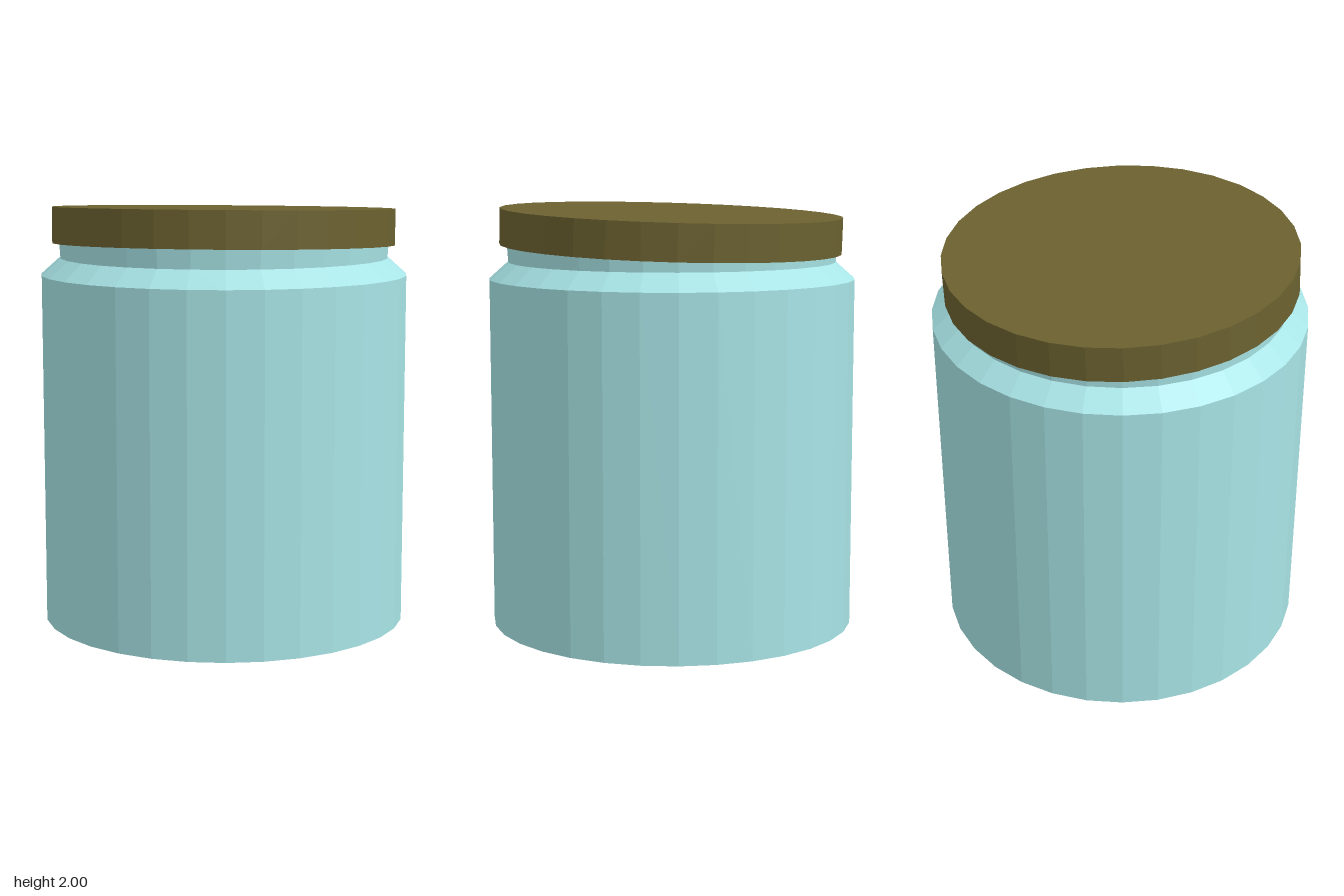
import * as THREE from 'three';

const SIDES = 32;

export function createModel() {
  const model = new THREE.Group();
  model.name = 'jar';

  const glass = new THREE.MeshStandardMaterial({ color: 0xa8e4e6, flatShading: true });
  const metal = new THREE.MeshStandardMaterial({ color: 0x6b6130, flatShading: true });

  // Jar body: base, straight wall, sloped shoulder and neck, closed under the lid
  const profile = [
    [0, 0], [0.87, 0], [0.87, 1.66], [0.78, 1.74], [0.787, 1.85], [0, 1.85],
  ].map(([r, y]) => new THREE.Vector2(r, y));
  const body = new THREE.Mesh(new THREE.LatheGeometry(profile, SIDES), glass);
  body.name = 'jarBody';
  model.add(body);

  // Lid, resting slightly tilted with its front edge raised
  const lid = new THREE.Mesh(new THREE.CylinderGeometry(0.815, 0.815, 0.17, SIDES), metal);
  lid.name = 'lid';
  lid.position.set(0, 1.887, 0.005);
  lid.rotation.x = THREE.MathUtils.degToRad(-2);
  model.add(lid);

  return model;
}
